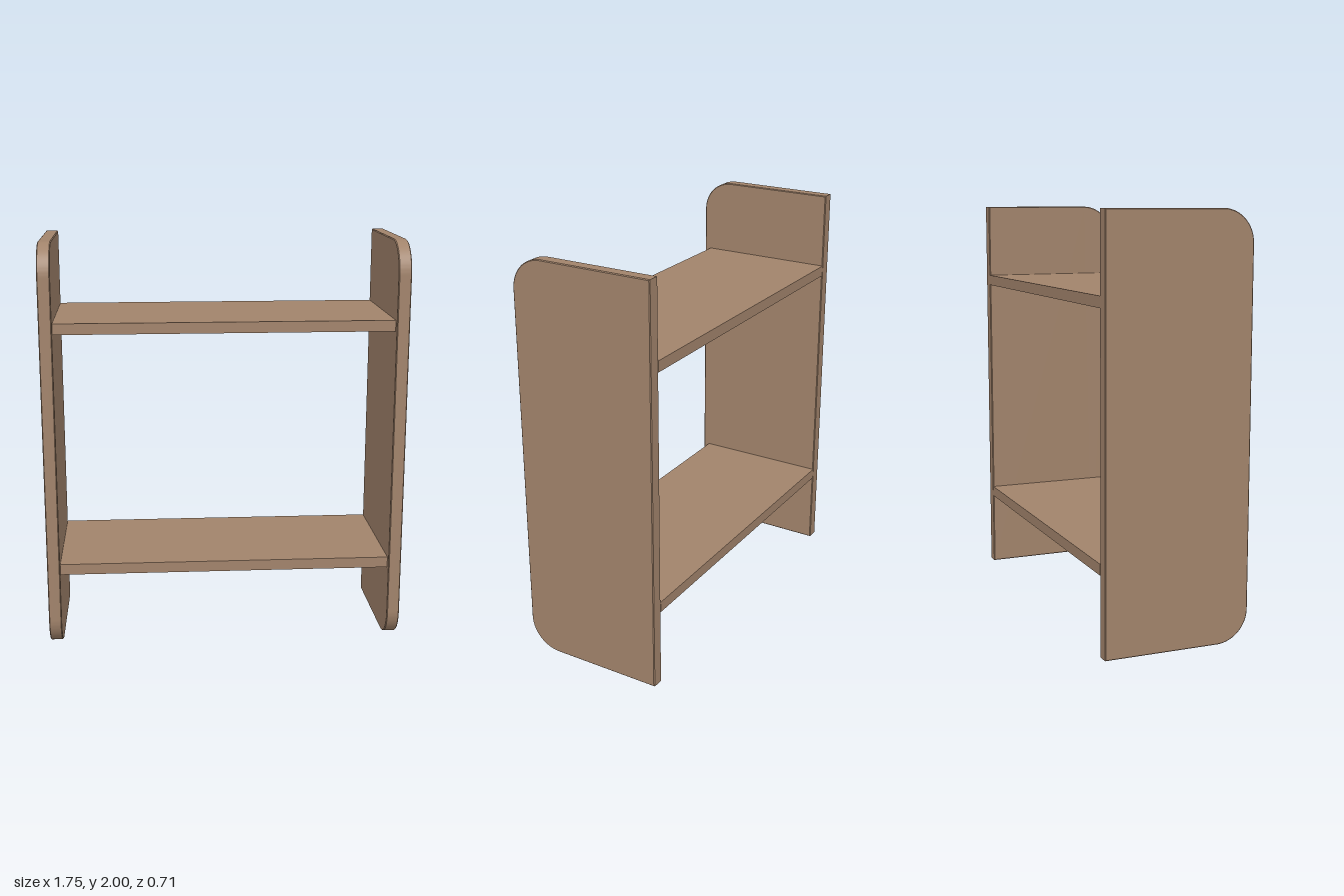
import * as THREE from 'three';
import { toCreasedNormals } from 'three/addons/utils/BufferGeometryUtils.js';

const HEIGHT = 2, HALF_DEPTH = 0.357, RADIUS = 0.155;
const PANEL = 0.062, PANEL_X = 0.844, BEVEL = 0.004;

// Upright board: square at the back, rounded at the two front corners
function sidePanelGeometry() {
  const s = new THREE.Shape();
  s.moveTo(-HALF_DEPTH, 0);
  s.lineTo(HALF_DEPTH - RADIUS, 0);
  s.absarc(HALF_DEPTH - RADIUS, RADIUS, RADIUS, -Math.PI / 2, 0, false);
  s.lineTo(HALF_DEPTH, HEIGHT - RADIUS);
  s.absarc(HALF_DEPTH - RADIUS, HEIGHT - RADIUS, RADIUS, 0, Math.PI / 2, false);
  s.lineTo(-HALF_DEPTH, HEIGHT);
  s.closePath();
  const depth = PANEL - 2 * BEVEL;
  const geo = new THREE.ExtrudeGeometry(s, {
    depth, curveSegments: 16, bevelEnabled: true, bevelThickness: BEVEL,
    bevelSize: BEVEL, bevelOffset: -BEVEL, bevelSegments: 1,
  });
  geo.translate(0, 0, -depth / 2);
  geo.rotateY(-Math.PI / 2);
  return toCreasedNormals(geo, 0.5);
}

export function createModel() {
  const model = new THREE.Group();
  model.name = 'shelfUnit';
  const wood = new THREE.MeshStandardMaterial({ color: 0xa1836b });
  wood.name = 'wood';

  // Side panels
  const panel = sidePanelGeometry();
  for (const [name, side] of [['leftSidePanel', 1], ['rightSidePanel', -1]]) {
    const mesh = new THREE.Mesh(panel, wood);
    mesh.name = name;
    mesh.position.x = side * PANEL_X;
    model.add(mesh);
  }

  // Shelves, flush at the back and set in slightly at the front
  const shelf = new THREE.BoxGeometry(2 * PANEL_X - PANEL, 0.053, 0.68);
  for (const [name, y] of [['lowerShelf', 0.407], ['upperShelf', 1.601]]) {
    const mesh = new THREE.Mesh(shelf, wood);
    mesh.name = name;
    mesh.position.set(0, y, -HALF_DEPTH + 0.34);
    model.add(mesh);
  }
  return model;
}
